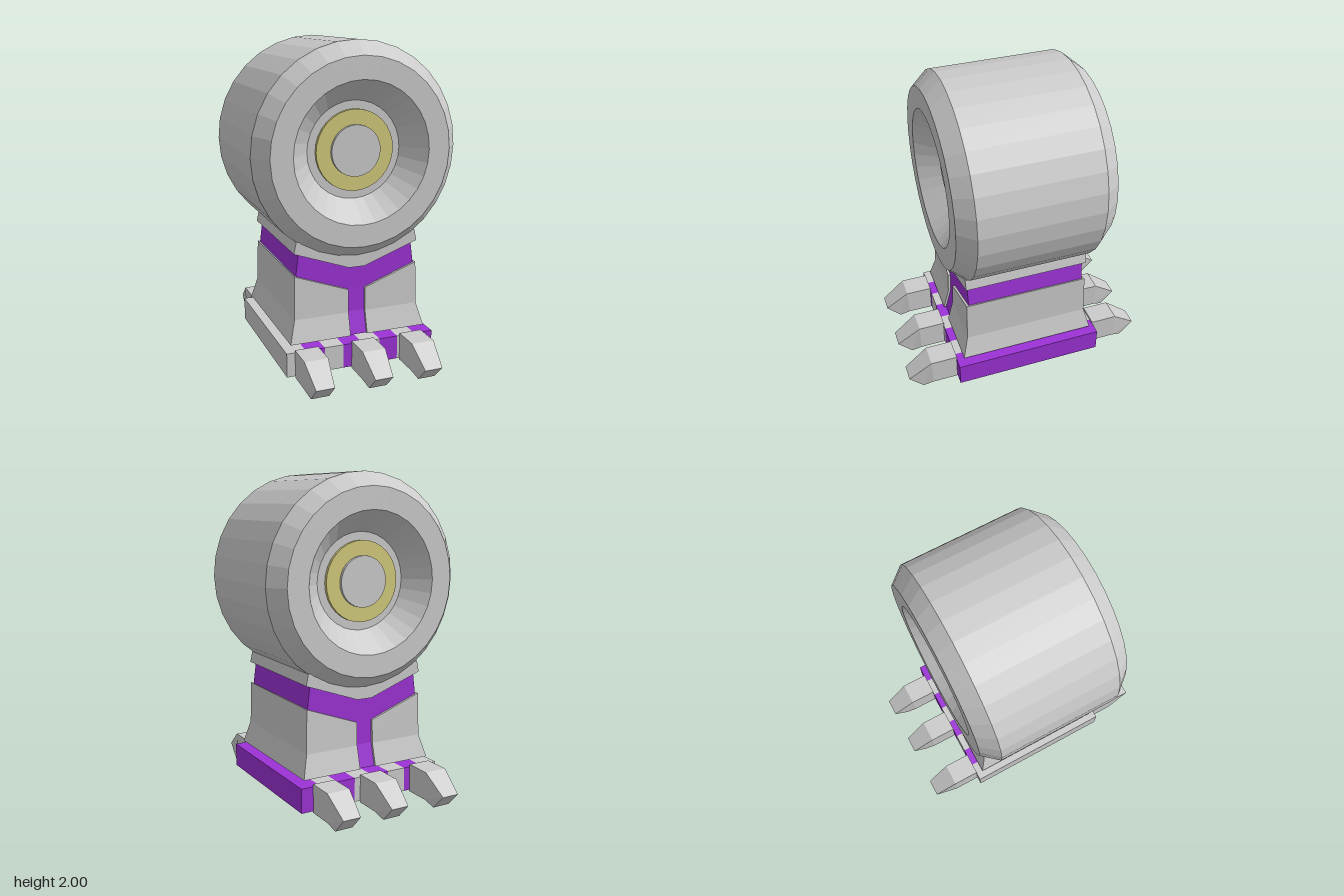
import * as THREE from 'three';

const grey = new THREE.MeshStandardMaterial({ color: 0xcccccc, flatShading: true });
const purple = new THREE.MeshStandardMaterial({ color: 0x9c32d6, flatShading: true });
const yellow = new THREE.MeshStandardMaterial({ color: 0xd2ca7c, flatShading: true });

function add(parent, name, geometry, material) {
  const mesh = new THREE.Mesh(geometry, material);
  mesh.name = name;
  parent.add(mesh);
  return mesh;
}

// Unit box whose vertices are moved by rule(x, y, z), each input in -1..1
function shapedBox(hSegs, dSegs, rule) {
  const geo = new THREE.BoxGeometry(2, 2, 2, 1, hSegs, dSegs);
  const p = geo.attributes.position;
  for (let i = 0; i < p.count; i++) p.setXYZ(i, ...rule(p.getX(i), p.getY(i), p.getZ(i)));
  geo.computeVertexNormals();
  return geo;
}

// Outline in x and y, extruded to +-halfDepth in z
function slab(points, halfDepth) {
  const shape = new THREE.Shape(points.map(([x, y]) => new THREE.Vector2(x, y)));
  const geo = new THREE.ExtrudeGeometry(shape, { depth: 2 * halfDepth, bevelEnabled: false });
  return geo.translate(0, 0, -halfDepth);
}

function makeWheel() {
  const wheel = new THREE.Group();
  wheel.name = 'wheel';
  // Chamfered tread with a conical recess on both ends
  const half = [[0, 0.34], [0.295, 0.34], [0.425, 0.485], [0.56, 0.485], [0.645, 0.385]];
  const profile = [
    ...half.map(([r, z]) => new THREE.Vector2(r, -z)),
    ...half.slice().reverse().map(([r, z]) => new THREE.Vector2(r, z)),
  ];
  add(wheel, 'tyre', new THREE.LatheGeometry(profile, 32), grey);
  // Stepped hub discs, passing through to both ends
  add(wheel, 'hubRing', new THREE.CylinderGeometry(0.245, 0.245, 0.72, 32), yellow);
  add(wheel, 'hubCap', new THREE.CylinderGeometry(0.155, 0.155, 0.76, 32), grey);
  wheel.rotation.x = Math.PI / 2;
  wheel.position.y = 1.355;
  return wheel;
}

function makePedestal() {
  const pedestal = new THREE.Group();
  pedestal.name = 'pedestal';
  // V-shaped cradle under the wheel and the band below it
  add(pedestal, 'cradle', slab([[-0.4, 0.77], [-0.05, 0.645], [0.05, 0.645], [0.4, 0.77],
    [0.385, 0.84], [-0.385, 0.84]], 0.397), grey);
  add(pedestal, 'band', slab([[-0.385, 0.625], [-0.055, 0.5], [0.055, 0.5], [0.385, 0.625],
    [0.367, 0.765], [0.05, 0.65], [-0.05, 0.65], [-0.367, 0.765]], 0.382), purple);

  // Rows from bottom to top: height, flare
  const rows = [[0.22, 0.44], [0.36, 0.403], [0.63, 0.397]];
  add(pedestal, 'stem', shapedBox(2, 1, (x, y, z) => {
    const [h, flare] = rows[Math.round(y) + 1];
    return [x * 0.056, y > 0.5 ? 0.51 : h, z * (flare - 0.015)];
  }), purple);

  // Flared blocks with sloping tops on either side of the stem
  for (const side of [-1, 1]) {
    add(pedestal, side > 0 ? 'leftBlock' : 'rightBlock', shapedBox(2, 1, (x, y, z) => {
      const [h, flare] = rows[Math.round(y) + 1];
      const inner = x * side < 0;
      return [side * (inner ? 0.055 : flare), inner && y > 0.5 ? 0.505 : h, z * flare];
    }), grey);
  }
  return pedestal;
}

function makeFoot() {
  const foot = new THREE.Group();
  foot.name = 'foot';
  // Striped base plate
  for (let i = 0; i < 8; i++) {
    const strip = add(foot, 'baseStrip', new THREE.BoxGeometry(0.12, 0.15, 0.965), i % 2 ? purple : grey);
    strip.position.set(-0.42 + i * 0.12, 0.115, 0);
  }
  // Tapered toes, three at each end; sections run from root to tip
  const sections = [
    { half: 0.073, top: [0.48, 0.205], bottom: [0.48, 0.03] },
    { half: 0.073, top: [0.65, 0.205], bottom: [0.645, 0.03] },
    { half: 0.056, top: [0.8, 0.093], bottom: [0.71, 0] },
  ];
  const toe = shapedBox(1, 2, (x, y, z) => {
    const s = sections[Math.round(z) + 1];
    const [depth, height] = y > 0 ? s.top : s.bottom;
    return [x * s.half, height, depth];
  });
  for (const x of [-0.355, 0.008, 0.33]) {
    add(foot, 'frontToe', toe, grey).position.x = x;
    const back = add(foot, 'backToe', toe, grey);
    back.position.x = x;
    back.rotation.y = Math.PI;
  }
  return foot;
}

export function createModel() {
  const model = new THREE.Group();
  model.name = 'wheelOnPedestal';
  model.add(makeWheel(), makePedestal(), makeFoot());
  return model;
}
